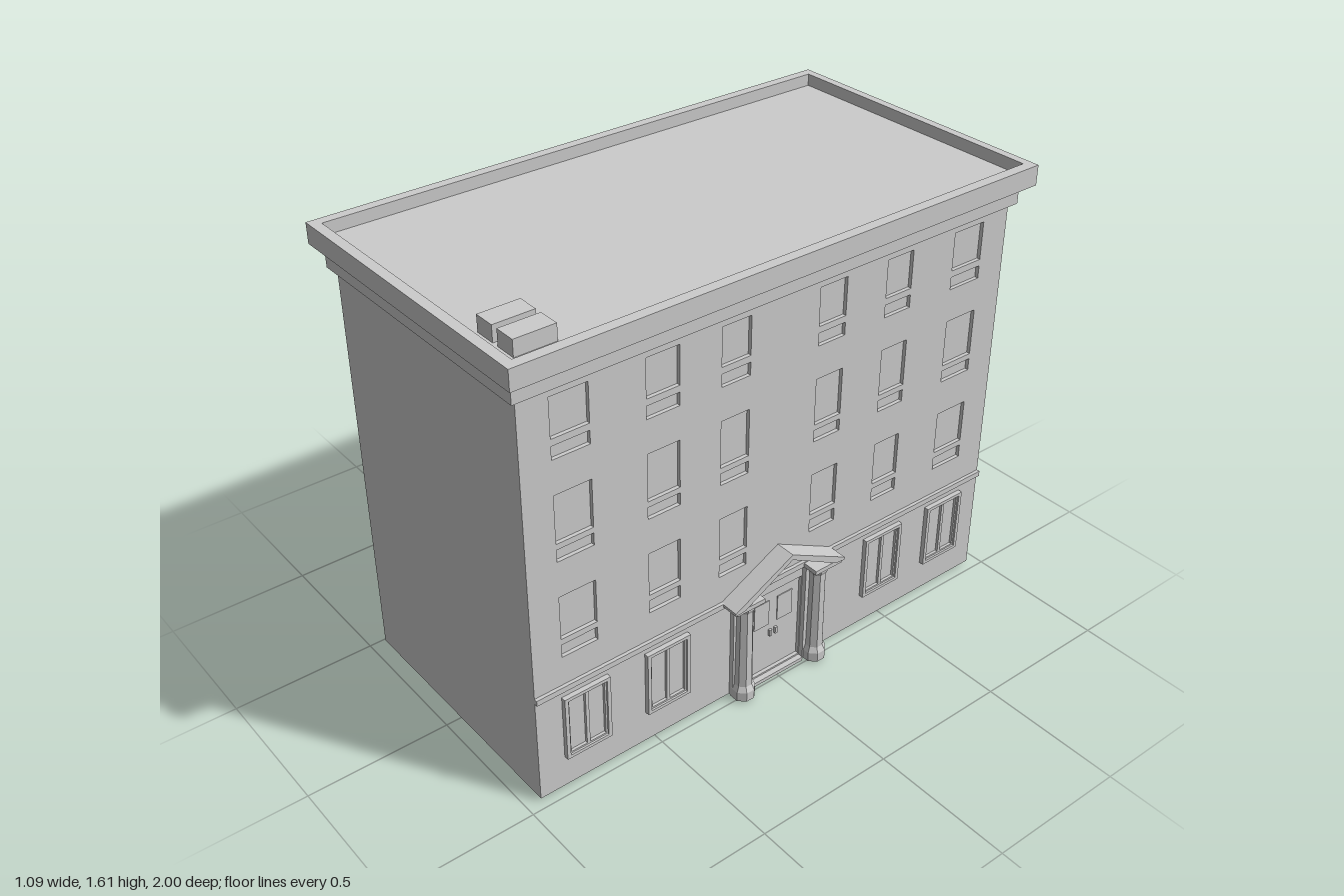
import * as THREE from 'three';

const grey = new THREE.MeshStandardMaterial({ color: 0xcccccc, flatShading: true });

export function createModel() {
  const group = new THREE.Group();

  const add = (name, geometry) => {
    const mesh = new THREE.Mesh(geometry, grey);
    mesh.name = name;
    group.add(mesh);
    return mesh;
  };
  // Box given by its limits on each axis
  const box = (name, x0, x1, y0, y1, z0, z1) => {
    const mesh = add(name, new THREE.BoxGeometry(x1 - x0, y1 - y0, z1 - z0));
    mesh.position.set((x0 + x1) / 2, (y0 + y1) / 2, (z0 + z1) / 2);
    return mesh;
  };
  const rect = (Type, u0, u1, v0, v1) => new Type([
    new THREE.Vector2(u0, v0), new THREE.Vector2(u1, v0),
    new THREE.Vector2(u1, v1), new THREE.Vector2(u0, v1)]);
  // Extrusion of a (-z, y) outline along +x
  const extrudeX = (name, shape, x0, x1) => {
    const mesh = add(name, new THREE.ExtrudeGeometry(shape, { depth: x1 - x0, bevelEnabled: false }));
    mesh.rotation.y = Math.PI / 2;
    mesh.position.x = x0;
    return mesh;
  };

  // Shell: open along the bottom of the rear long side
  box('floor', -0.48, 0.47, 0.012, 0.016, -0.95, 0.95);
  box('rearWall', -0.48, -0.47, 0.4, 1.46, -0.95, 0.95);
  box('endWall', -0.48, 0.455, 0.012, 1.46, 0.945, 0.95);
  box('endWall', -0.48, 0.455, 0.012, 1.46, -0.95, -0.945);

  // Street facade with recessed windows, sill panels and doorway
  const facade = rect(THREE.Shape, -0.95, 0.95, 0.012, 1.46);
  const hole = (z, w, y0, y1) => facade.holes.push(rect(THREE.Path, -z - w / 2, -z + w / 2, y0, y1));
  const columns = [[0.78, 0.13], [0.46, 0.12], [0.19, 0.11], [-0.19, 0.11], [-0.47, 0.11], [-0.775, 0.13]];
  const rows = [[0.593, 0.75, 0.525, 0.572], [0.94, 1.107, 0.877, 0.92], [1.293, 1.427, 1.225, 1.27]];
  for (const [z, w] of columns) {
    for (const [y0, y1, s0, s1] of rows) {
      hole(z, w, y0, y1);
      hole(z, w, s0, s1);
    }
  }
  hole(0, 0.225, 0.02, 0.355);
  extrudeX('facade', facade, 0.455, 0.47);
  box('windowPanes', 0.45, 0.457, 0.42, 1.46, -0.945, 0.945);
  box('stringCourse', 0.465, 0.482, 0.4, 0.42, -0.95, 0.95);

  // Ground floor windows: outer frame, two sashes
  for (const z of [0.77, 0.457, -0.478, -0.775]) {
    const frame = rect(THREE.Shape, -z - 0.085, -z + 0.085, 0.13, 0.372);
    frame.holes.push(rect(THREE.Path, -z - 0.072, -z + 0.072, 0.142, 0.36));
    extrudeX('windowFrame', frame, 0.468, 0.487);
    const sash = rect(THREE.Shape, -z - 0.072, -z + 0.072, 0.142, 0.36);
    for (const s of [-1, 1]) {
      const c = -z + s * 0.036;
      sash.holes.push(rect(THREE.Path, c - 0.03, c + 0.03, 0.148, 0.354));
    }
    extrudeX('windowSash', sash, 0.468, 0.48);
  }

  // Entrance
  box('doorStep', 0.36, 0.49, 0, 0.014, -0.115, 0.11);
  box('door', 0.445, 0.457, 0.012, 0.36, -0.115, 0.115);
  for (const s of [-1, 1]) {
    box('doorLight', 0.455, 0.46, 0.21, 0.31, s * 0.05 - 0.032, s * 0.05 + 0.032);
    box('doorHandle', 0.455, 0.466, 0.16, 0.185, s * 0.012 - 0.005, s * 0.012 + 0.005);
  }

  // Portico: octagonal columns before flat pilasters
  const profile = [[0, 0.01], [0.042, 0.01], [0.042, 0.045], [0.032, 0.065],
    [0.029, 0.37], [0.036, 0.385], [0.036, 0.405], [0, 0.405]].map(p => new THREE.Vector2(...p));
  for (const s of [-1, 1]) {
    const column = add('porticoColumn', new THREE.LatheGeometry(profile, 8, Math.PI / 8));
    column.position.set(0.497, 0, s * 0.158);
    box('pilaster', 0.465, 0.488, 0.012, 0.4, s * 0.155 - 0.04, s * 0.155 + 0.04);
    const z0 = s > 0 ? 0.11 : -0.225;
    box('porticoCapital', 0.468, 0.54, 0.4, 0.416, z0, z0 + 0.115);
  }
  // Open gable roof
  const gable = new THREE.Shape([[-0.235, 0.408], [-0.195, 0.412], [0, 0.52], [0.195, 0.412],
    [0.235, 0.408], [0.235, 0.418], [0, 0.54], [-0.235, 0.418]].map(p => new THREE.Vector2(...p)));
  extrudeX('porticoGable', gable, 0.468, 0.543);

  // Cornice, parapet and sunken roof
  box('lowerCornice', -0.502, 0.49, 1.46, 1.531, -0.97, 0.972);
  const parapet = rect(THREE.Shape, -0.545, 0.532, -1, 1);
  parapet.holes.push(rect(THREE.Path, -0.51, 0.495, -0.965, 0.97));
  const rim = add('parapet', new THREE.ExtrudeGeometry(parapet, { depth: 0.07, bevelEnabled: false }));
  rim.rotation.x = -Math.PI / 2;
  rim.position.y = 1.53;
  box('roof', -0.52, 0.505, 1.531, 1.558, -0.98, 0.98);

  // Rooftop units
  for (const x of [0.26, 0.358]) box('roofUnit', x, x + 0.074, 1.55, 1.613, 0.78, 0.92);

  return group;
}
